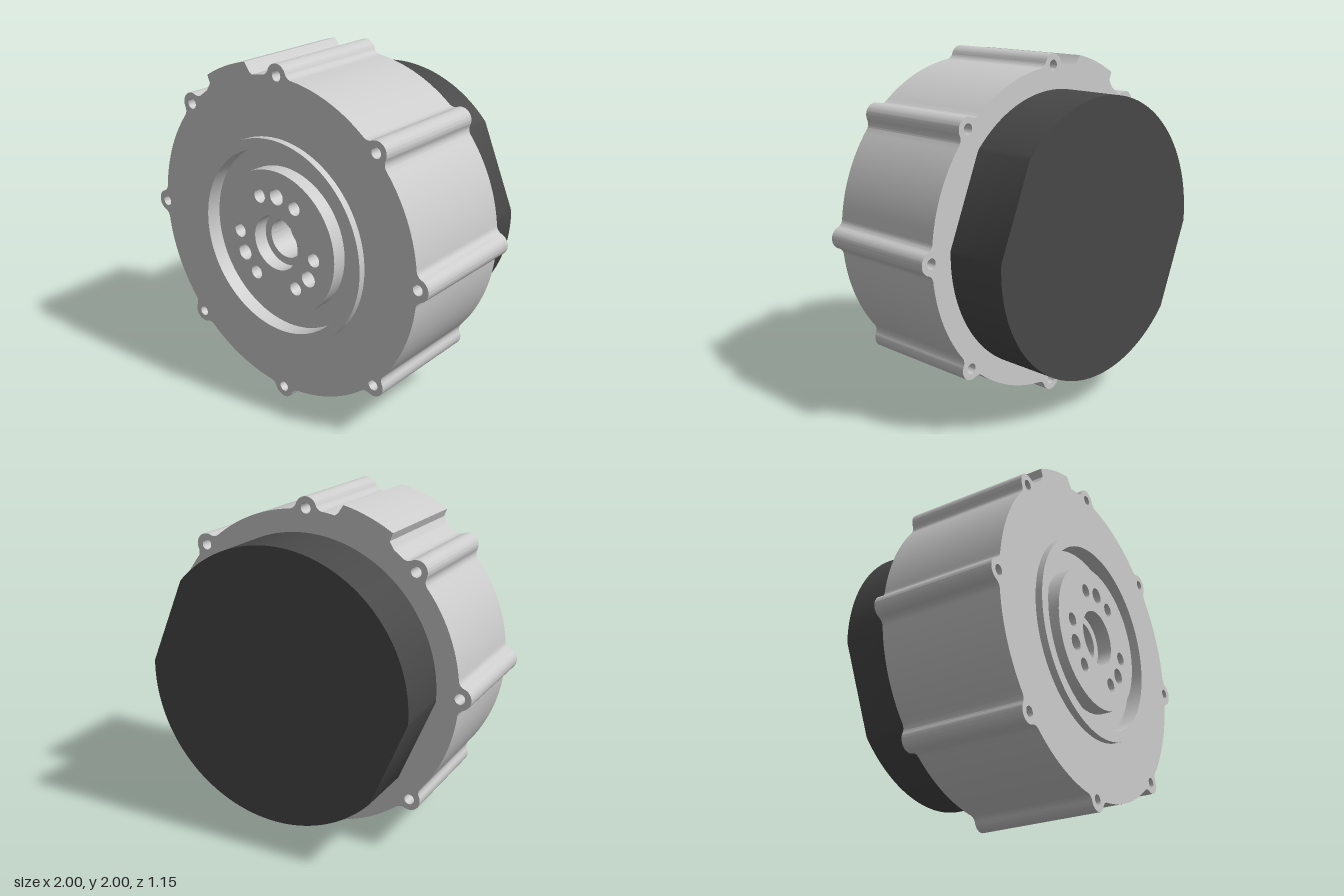
import * as THREE from 'three';
import { toCreasedNormals } from 'three/addons/utils/BufferGeometryUtils.js';

const TAU = Math.PI * 2;
const rad = (d) => (d * Math.PI) / 180;

// Housing outline dimensions
const BODY_R = 0.93, LUG_D = 0.935, LUG_R = 0.065, FILLET = 0.05;

const grey = new THREE.MeshStandardMaterial({ color: 0xcccccc });
const dark = new THREE.MeshStandardMaterial({ color: 0x484848 });

function disc(r, x = 0, y = 0) {
  const s = new THREE.Shape();
  s.absarc(x, y, r, 0, TAU, false);
  return s;
}

// Extrude a shape along z between two depths, smooth round the curves
function slab(name, shape, holes, z0, z1, material, segments = 32) {
  shape.holes.push(...holes);
  const geo = new THREE.ExtrudeGeometry(shape, {
    depth: z1 - z0, bevelEnabled: false, curveSegments: segments,
  });
  geo.translate(0, 0, z0);
  const mesh = new THREE.Mesh(toCreasedNormals(geo, 0.45), material);
  mesh.name = name;
  return mesh;
}

// Round body with eight filleted lugs and one raised pad
function housingOutline() {
  const s = new THREE.Shape();
  const fr = BODY_R + FILLET;
  const lf = LUG_R + FILLET;
  const delta = Math.acos((LUG_D ** 2 + fr ** 2 - lf ** 2) / (2 * LUG_D * fr));
  const polar = (r, a) => s.lineTo(r * Math.cos(a), r * Math.sin(a));

  for (let i = 0; i < 8; i++) {
    const a = (i * TAU) / 8;
    const lx = LUG_D * Math.cos(a), ly = LUG_D * Math.sin(a);
    const before = a - delta, after = a + delta;
    const bx = fr * Math.cos(before), by = fr * Math.sin(before);
    const ax = fr * Math.cos(after), ay = fr * Math.sin(after);
    const toLugB = Math.atan2(ly - by, lx - bx);
    const toLugA = Math.atan2(ly - ay, lx - ax);

    s.absarc(bx, by, FILLET, before + Math.PI, toLugB, true);
    s.absarc(lx, ly, LUG_R, toLugB + Math.PI, toLugA + Math.PI, false);
    s.absarc(ax, ay, FILLET, toLugA, after + Math.PI, true);

    const next = a + TAU / 8 - delta;
    if (i === 2) {
      // raised pad beside the top lug
      s.absarc(0, 0, BODY_R, after, rad(101), false);
      polar(0.945, rad(102));
      s.absarc(0, 0, 1.0, rad(103.3), rad(121.5), false);
      polar(0.953, rad(122));
      polar(0.936, rad(124));
      s.absarc(0, 0, BODY_R, rad(125), next, false);
    } else {
      s.absarc(0, 0, BODY_R, after, next, false);
    }
  }
  return s;
}

export function createModel() {
  const model = new THREE.Group();
  const core = new THREE.Group();
  core.position.y = 1;
  model.add(core);

  // Housing with lug holes and a central opening for the hub
  const lugHoles = [];
  for (let i = 0; i < 8; i++) {
    const a = (i * TAU) / 8;
    lugHoles.push(disc(0.03, LUG_D * Math.cos(a), LUG_D * Math.sin(a)));
  }
  core.add(slab('housing', housingOutline(), [disc(0.595), ...lugHoles], -0.21, 0.535, grey, 12));

  // Raised hub ring around an annular groove
  core.add(slab('hubRing', disc(0.595), [disc(0.535)], 0.3, 0.575, grey, 48));

  // Groove floor with the stepped inner bore, closed behind
  core.add(slab('grooveFloor', disc(0.535), [disc(0.115)], 0.33, 0.485, grey, 48));
  core.add(slab('boreBottom', disc(0.2), [], 0.3, 0.33, grey));

  // Output disc with the centre bore and bolt holes: x, y, radius
  const bolts = [
    [-0.115, 0.25, 0.04], [0.012, 0.275, 0.047], [0.14, 0.24, 0.04],
    [-0.275, 0, 0.04], [-0.243, -0.125, 0.047], [-0.157, -0.225, 0.04],
    [0.275, -0.023, 0.04], [0.235, -0.148, 0.047], [0.14, -0.236, 0.04],
  ].map(([x, y, r]) => disc(r, x, y));
  core.add(slab('outputDisc', disc(0.42), [disc(0.16), ...bolts], 0.485, 0.57, grey));

  // Dark rear cover with two opposite flats
  const cover = new THREE.Shape();
  cover.absarc(0, 0, 0.8, rad(42.5), rad(183), false);
  cover.absarc(0, 0, 0.8, rad(222.5), rad(363), false);
  cover.closePath();
  core.add(slab('rearCover', cover, [], -0.575, -0.21, dark, 40));

  return model;
}
